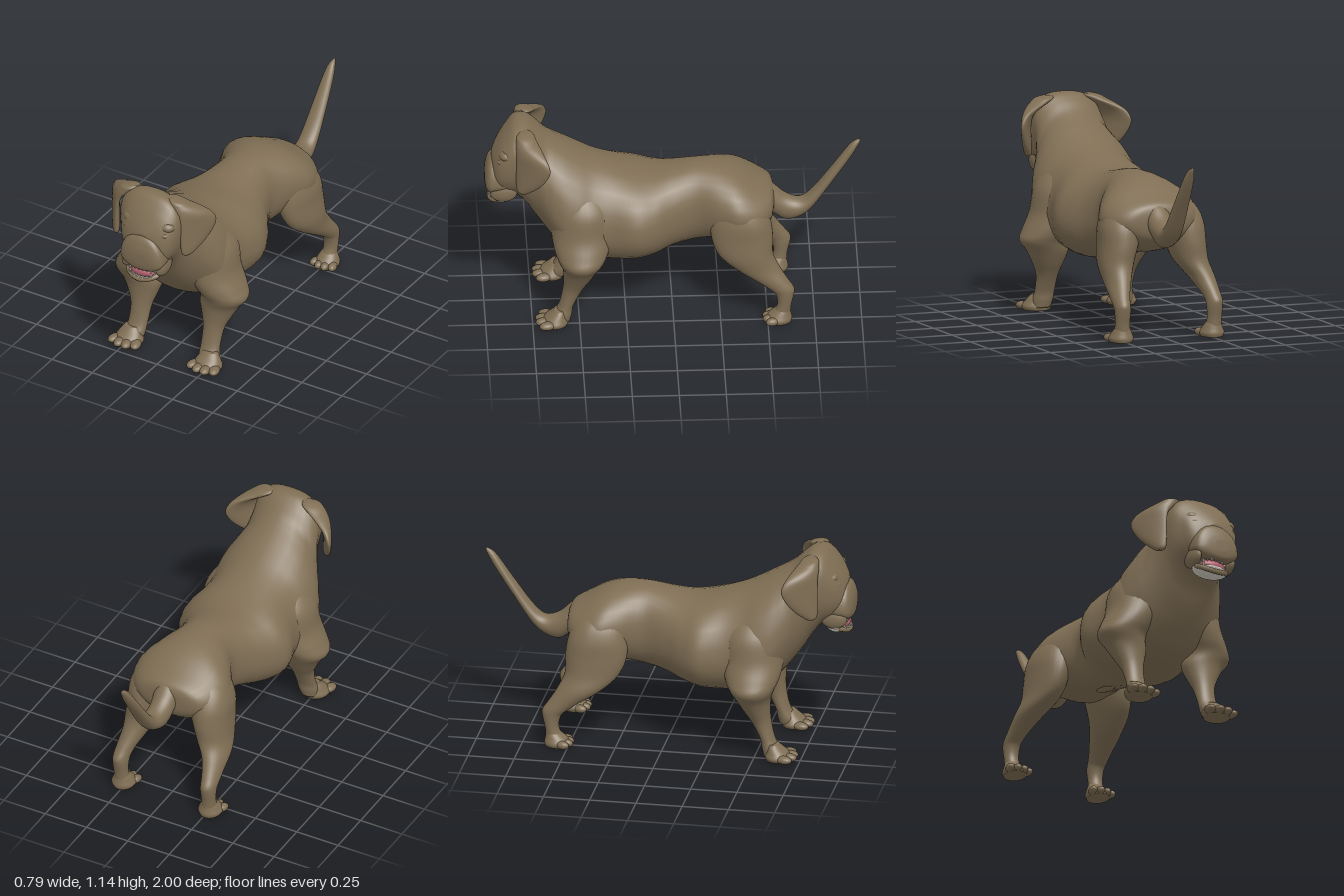
import * as THREE from 'three';

const coat = new THREE.MeshStandardMaterial({ color: 0x7f6e54 });
coat.name = 'brown coat';
const gum = new THREE.MeshStandardMaterial({ color: 0xb4606c });
gum.name = 'pink mouth';
const ivory = new THREE.MeshStandardMaterial({ color: 0xd6d1c6, side: THREE.DoubleSide });
ivory.name = 'ivory teeth';

const SEG = 32, SUB = 5;

// Row: [position along axis, centre x, half width, low, high, height of widest point 0..1, squareness]
// Axis 'z': low/high are y. Axis 'y': low/high are z. Positions ascend.
function loft(rows, axis) {
  const full = rows.map(r => [...r, ...[0.5, 1].slice(Math.max(0, r.length - 5))]);
  const rings = [];
  const at = i => full[Math.min(full.length - 1, Math.max(0, i))];
  for (let i = 0; i < full.length - 1; i++) {
    for (let k = 0; k < SUB; k++) {
      const t = k / SUB;
      rings.push(full[i].map((p1, c) => {
        const p0 = at(i - 1)[c], p2 = at(i + 1)[c], p3 = at(i + 2)[c];
        return 0.5 * (2 * p1 + (p2 - p0) * t + (2 * p0 - 5 * p1 + 4 * p2 - p3) * t * t
          + (3 * p1 - p0 - 3 * p2 + p3) * t * t * t);
      }));
    }
  }
  rings.push(full[full.length - 1]);
  const pos = [], idx = [];
  const put = (x, v, s) => (axis === 'z' ? pos.push(x, v, s) : pos.push(x, s, v));
  const tri = (a, b, c) => (axis === 'z' ? idx.push(a, b, c) : idx.push(a, c, b));
  for (const [s, cx, w, lo, hi, m, e] of rings) {
    const mid = lo + (hi - lo) * m;
    for (let j = 0; j < SEG; j++) {
      const a = (j / SEG) * Math.PI * 2, c = Math.cos(a), n = Math.sin(a);
      const pc = Math.sign(c) * Math.abs(c) ** e, pn = Math.sign(n) * Math.abs(n) ** e;
      put(cx + w * pc, mid + pn * (n > 0 ? hi - mid : mid - lo), s);
    }
  }
  for (let i = 0; i < rings.length - 1; i++) {
    for (let j = 0; j < SEG; j++) {
      const a = i * SEG + j, b = i * SEG + (j + 1) % SEG;
      tri(a, b, a + SEG);
      tri(b, b + SEG, a + SEG);
    }
  }
  // end caps
  [0, rings.length - 1].forEach((r, end) => {
    const [s, cx, , lo, hi] = rings[r], centre = pos.length / 3;
    put(cx, (lo + hi) / 2, s);
    for (let j = 0; j < SEG; j++) {
      const a = r * SEG + j, b = r * SEG + (j + 1) % SEG;
      if (end) tri(centre, a, b); else tri(centre, b, a);
    }
  });
  const g = new THREE.BufferGeometry();
  g.setAttribute('position', new THREE.Float32BufferAttribute(pos, 3));
  g.setIndex(idx);
  g.computeVertexNormals();
  return g;
}

export function createModel() {
  const dog = new THREE.Group();
  dog.name = 'dog';
  const add = (name, geometry, material = coat) => {
    const mesh = new THREE.Mesh(geometry, material);
    mesh.name = name;
    dog.add(mesh);
    return mesh;
  };
  const ball = (name, p, r, material) => {
    const mesh = add(name, new THREE.SphereGeometry(1, 24, 16), material);
    mesh.position.set(...p);
    mesh.scale.set(...r);
    return mesh;
  };

  // Torso, neck and skull in one skin
  add('body', loft([
    [-0.54, 0.02, 0.08, 0.58, 0.69],
    [-0.52, 0.02, 0.18, 0.53, 0.725],
    [-0.45, 0.02, 0.25, 0.47, 0.765],
    [-0.35, 0.02, 0.275, 0.44, 0.82],
    [-0.25, 0.02, 0.24, 0.43, 0.85],
    [-0.12, 0.02, 0.18, 0.405, 0.855, 0.5, 0.9],
    [0, 0.015, 0.22, 0.38, 0.835, 0.45, 0.92],
    [0.1, 0.01, 0.285, 0.345, 0.82, 0.45, 0.95],
    [0.2, 0, 0.325, 0.325, 0.83, 0.45, 0.95],
    [0.33, 0, 0.295, 0.315, 0.87, 0.42, 0.95],
    [0.42, 0, 0.298, 0.325, 0.905, 0.4],
    [0.5, 0, 0.31, 0.345, 0.945, 0.38],
    [0.57, 0, 0.3, 0.38, 0.985, 0.38],
    [0.63, 0, 0.27, 0.44, 1.02, 0.4],
    [0.68, 0, 0.235, 0.5, 1.055, 0.45],
    [0.73, 0, 0.205, 0.57, 1.1, 0.55, 0.9],
    [0.78, 0.005, 0.192, 0.65, 1.133, 0.62, 0.82],
    [0.84, 0.015, 0.187, 0.72, 1.13, 0.6, 0.8],
    [0.89, 0.028, 0.167, 0.735, 1.08, 0.58, 0.85],
    [0.925, 0.033, 0.145, 0.75, 1.03, 0.55, 0.9],
    [0.95, 0.035, 0.11, 0.77, 0.985],
    [0.963, 0.035, 0.06, 0.8, 0.955],
  ], 'z'));

  add('tail', loft([
    [-1, 0.035, 0.008, 0.965, 0.985],
    [-0.95, 0.035, 0.028, 0.875, 0.955],
    [-0.85, 0.035, 0.042, 0.725, 0.815],
    [-0.75, 0.035, 0.052, 0.58, 0.68],
    [-0.68, 0.035, 0.058, 0.52, 0.625],
    [-0.6, 0.03, 0.062, 0.5, 0.65],
    [-0.52, 0.03, 0.07, 0.55, 0.72],
    [-0.42, 0.03, 0.09, 0.6, 0.765],
  ], 'z'));

  add('sheath', loft([
    [-0.19, 0.02, 0.012, 0.42, 0.46],
    [-0.15, 0.02, 0.03, 0.4, 0.47],
    [-0.07, 0.02, 0.035, 0.378, 0.46],
    [-0.045, 0.02, 0.022, 0.38, 0.45],
    [0.02, 0.02, 0.03, 0.385, 0.45],
  ], 'z'));

  // Muzzle, nose, brows and flews
  add('muzzle', loft([
    [0.8, 0.03, 0.11, 0.74, 0.95, 0.35],
    [0.89, 0.03, 0.132, 0.735, 0.95, 0.35],
    [0.945, 0.032, 0.133, 0.735, 0.95, 0.32],
    [0.975, 0.035, 0.122, 0.738, 0.93, 0.32, 0.92],
    [0.993, 0.04, 0.09, 0.752, 0.888, 0.4],
    [1, 0.045, 0.04, 0.785, 0.85],
  ], 'z'));
  ball('nose', [0.06, 0.838, 0.966], [0.065, 0.038, 0.032]);
  for (const s of [-1, 1]) {
    const x = 0.036 + s * 0.11;
    ball('brow', [x, 0.995, 0.885], [0.045, 0.03, 0.04]);
    ball('eyelid', [x, 0.958, 0.902], [0.032, 0.018, 0.036]);
    ball('flew', [0.03 + s * 0.105, 0.755, 0.9], [0.029, 0.055, 0.072]);
  }

  // Open mouth: tongue, pale lower jaw, brown lip and two rows of teeth
  ball('tongue', [0.025, 0.712, 0.925], [0.08, 0.036, 0.05], gum);
  const jaw = add('lowerJaw', new THREE.SphereGeometry(1, 28, 12, 0, Math.PI * 2, Math.PI / 2, Math.PI / 2), ivory);
  jaw.position.set(0.022, 0.7, 0.91);
  jaw.scale.set(0.104, 0.043, 0.068);
  const lipCurve = new THREE.CatmullRomCurve3(Array.from({ length: 9 }, (_, i) => {
    const a = Math.PI * (0.08 + 0.84 * i / 8);
    return new THREE.Vector3(0.022 + 0.098 * Math.cos(a), 0.672 + 0.03 * Math.cos(a) ** 2, 0.905 + 0.066 * Math.sin(a));
  }));
  add('lowerLip', new THREE.TubeGeometry(lipCurve, 24, 0.014, 8));
  for (let i = 0; i < 11; i++) {
    const a = Math.PI * (0.06 + 0.88 * i / 10);
    const h = i === 2 || i === 8 ? 0.03 : 0.016;
    for (const up of [true, false]) {
      const tooth = add('tooth', new THREE.ConeGeometry(0.008, h, 6), ivory);
      const lift = 0.02 * Math.cos(a) ** 2;
      tooth.position.set(0.022 + 0.088 * Math.cos(a), up ? 0.684 + h / 2 + lift : 0.743 - h / 2 - lift,
        0.91 + 0.062 * Math.sin(a));
      if (!up) tooth.rotation.x = Math.PI;
    }
  }

  for (const s of [-1, 1]) {
    // Hanging ears, rooted on the crown and flaring outwards at the back
    const ear = add('ear', loft([
      [0.8, 0, 0.01, -0.055, -0.02],
      [0.815, 0, 0.018, -0.08, -0.005],
      [0.86, 0, 0.021, -0.135, 0],
      [0.92, 0, 0.021, -0.185, 0],
      [0.98, -s * 0.002, 0.022, -0.21, 0],
      [1.03, -s * 0.012, 0.03, -0.185, 0.005],
      [1.065, -s * 0.035, 0.042, -0.135, 0.02],
      [1.09, -s * 0.06, 0.05, -0.085, 0.03],
      [1.11, -s * 0.08, 0.05, -0.05, 0.035],
      [1.122, -s * 0.095, 0.025, -0.015, 0.025],
    ], 'y'));
    ear.position.set(s * 0.2, 0, 0.835);
    ear.rotation.y = -s * 0.58;

    // Front leg up to the shoulder blade
    add('frontLeg', loft([
      [0.02, s * 0.235, 0.055, 0.55, 0.66],
      [0.06, s * 0.23, 0.058, 0.54, 0.64],
      [0.11, s * 0.225, 0.055, 0.53, 0.61],
      [0.2, s * 0.225, 0.06, 0.485, 0.59],
      [0.27, s * 0.23, 0.085, 0.44, 0.585],
      [0.34, s * 0.24, 0.115, 0.4, 0.59],
      [0.4, s * 0.265, 0.132, 0.37, 0.61],
      [0.46, s * 0.235, 0.14, 0.34, 0.635],
      [0.55, s * 0.185, 0.15, 0.32, 0.65],
      [0.68, s * 0.165, 0.145, 0.32, 0.64],
      [0.78, s * 0.13, 0.11, 0.38, 0.61],
      [0.86, s * 0.09, 0.07, 0.45, 0.58],
    ], 'y'));

    // Hind leg with thigh and hock
    const hip = 0.012;
    add('hindLeg', loft([
      [0.02, s * 0.26, 0.045, -0.62, -0.51],
      [0.1, s * 0.265, 0.04, -0.625, -0.55],
      [0.17, s * 0.265, 0.043, -0.64, -0.54],
      [0.205, s * 0.265, 0.045, -0.64, -0.505],
      [0.25, s * 0.258, 0.052, -0.61, -0.44],
      [0.32, s * 0.24, 0.07, -0.565, -0.33],
      [0.4, hip + s * 0.215, 0.088, -0.53, -0.24, 0.4],
      [0.5, hip + s * 0.195, 0.1, -0.53, -0.2, 0.4],
      [0.6, hip + s * 0.178, 0.11, -0.515, -0.2, 0.4],
      [0.69, hip + s * 0.15, 0.098, -0.47, -0.22, 0.4],
      [0.76, hip + s * 0.1, 0.06, -0.42, -0.28],
    ], 'y'));

    // Paws with four toes each
    for (const [name, x, z, w] of [['frontPaw', 0.245, 0.64, 1], ['hindPaw', 0.262, -0.55, 0.82]]) {
      add(name, loft([
        [0, s * x, 0.07 * w, z - 0.075, z + 0.06],
        [0.02, s * x, 0.082 * w, z - 0.08, z + 0.065],
        [0.045, s * x, 0.07 * w, z - 0.075, z + 0.045],
        [0.07, s * x, 0.055 * w, z - 0.07, z + 0.015],
        [0.09, s * x, 0.04 * w, z - 0.065, z - 0.005],
      ], 'y'));
      for (let i = 0; i < 4; i++) {
        const k = i - 1.5, reach = Math.abs(k) > 1 ? 0.032 : 0.05;
        const toe = ball(name + 'Toe', [s * x + k * 0.043 * w, 0.022, z + reach * w], [0.029 * w, 0.022, 0.045 * w]);
        toe.rotation.y = k * 0.18;
      }
    }
  }
  return dog;
}
